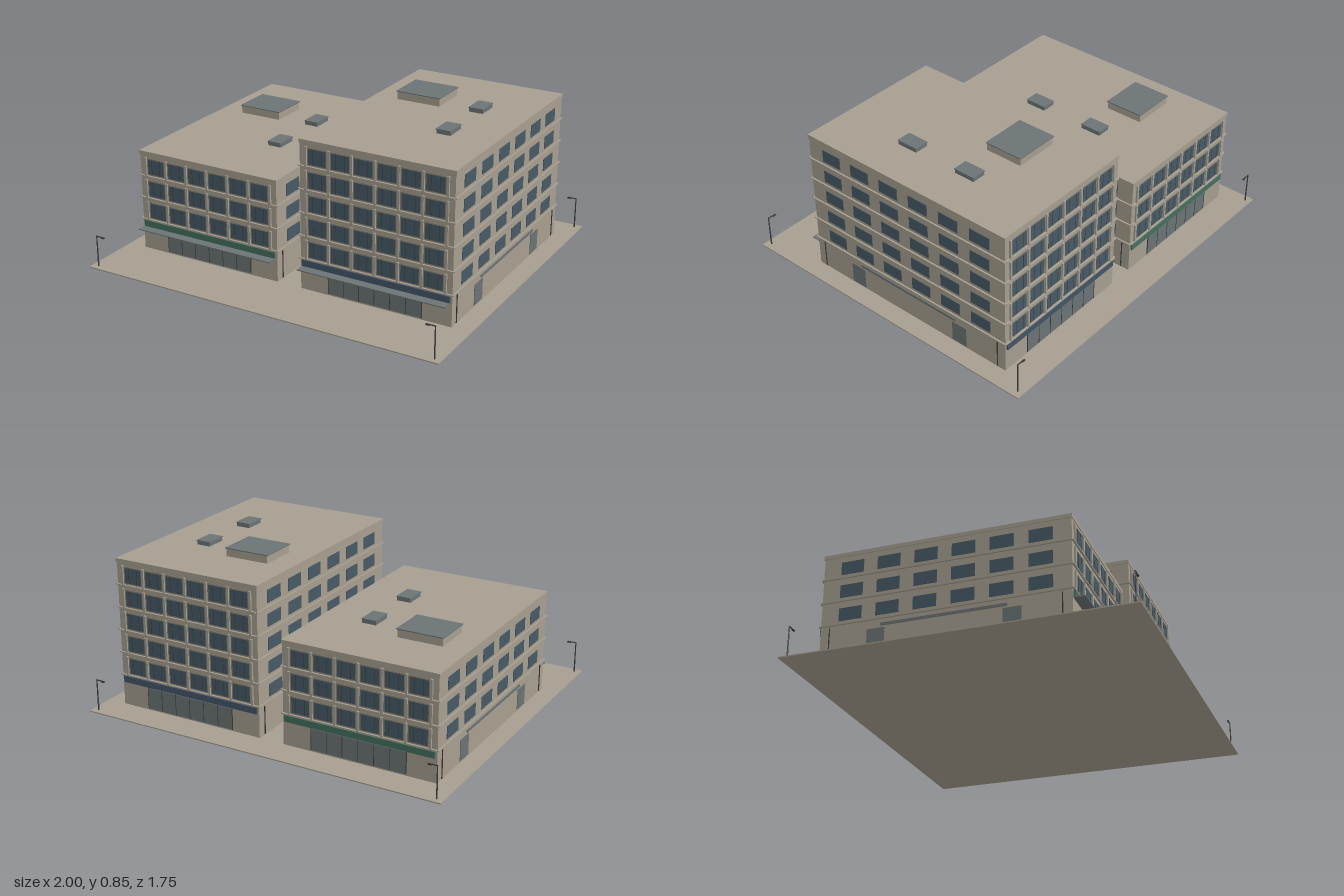
import * as THREE from 'three';

const paint = (name, color) => {
  const m = new THREE.MeshStandardMaterial({ color });
  m.name = name;
  return m;
};

export function createModel() {
  const concrete = paint('concrete', 0xa69e8f);
  const recess = paint('facadePanel', 0x8d8576);
  const glass = paint('windowGlass', 0x465a66);
  const metal = paint('greyMetal', 0x6b7374);
  const dark = paint('darkMetal', 0x3c3d3c);
  const green = paint('greenSign', 0x44705f);
  const blue = paint('blueSign', 0x425566);

  const model = new THREE.Group();
  model.name = 'cityBlock';

  // Box given by its centre and size
  const box = (parent, name, mat, x, y, z, w, h, d) => {
    const mesh = new THREE.Mesh(new THREE.BoxGeometry(w, h, d), mat);
    mesh.name = name;
    mesh.position.set(x, y, z);
    parent.add(mesh);
    return mesh;
  };

  box(model, 'pavement', concrete, 0, 0.003, 0, 2, 0.006, 1.75);

  const W = 0.83, D = 1.25, GROUND = 0.173, STOREY = 0.1225;

  // Street facade, drawn on the plane z = 0 and facing +z
  function facade(floors, sign, canopy) {
    const g = new THREE.Group();
    g.name = canopy ? 'frontFacade' : 'backFacade';
    for (let f = 0; f < floors; f++) {
      const y0 = GROUND + f * STOREY, yc = y0 + 0.054;
      box(g, 'facadePanel', recess, 0, yc, 0.0005, 0.765, 0.092, 0.003);
      box(g, 'floorLedge', concrete, 0, y0 + 0.001, 0.004, W, 0.006, 0.012);
      for (let i = 0; i < 6; i++) {
        const x = (i - 2.5) * 0.1265;
        box(g, 'window', glass, x, yc, 0.002, 0.098, 0.08, 0.005);
        for (const s of [-1, 1])
          box(g, 'mullion', dark, x + s * 0.024, yc, 0.004, 0.0025, 0.08, 0.003);
      }
      for (let i = 0; i < 7; i++)
        box(g, 'fin', concrete, (i - 3) * 0.1265, yc, 0.004, 0.012, 0.1, 0.011);
    }
    // Shop front
    box(g, 'shopGlass', metal, 0, 0.071, 0.001, 0.515, 0.114, 0.005);
    for (let i = 0; i < 7; i++)
      box(g, 'shopMullion', dark, (i - 3) * 0.0857, 0.071, 0.003, 0.003, 0.114, 0.004);
    box(g, 'signBand', sign, 0, 0.15, 0.004, 0.81, 0.034, 0.01);
    if (canopy) box(g, 'canopy', metal, 0, 0.131, 0.029, 0.81, 0.005, 0.058);
    return g;
  }

  // Side wall, drawn on the plane z = 0 and facing +z
  function sideWall(floors) {
    const g = new THREE.Group();
    g.name = 'sideWall';
    for (let f = 0; f < floors; f++) {
      const y0 = GROUND + f * STOREY;
      box(g, 'floorLedge', concrete, 0, y0 + 0.001, 0.003, D + 0.012, 0.006, 0.012);
      for (let i = 0; i < 6; i++)
        box(g, 'sideWindow', glass, (i - 2.5) * 0.19, y0 + 0.053, 0.0005, 0.118, 0.066, 0.005);
    }
    for (const s of [-1, 1]) {
      box(g, 'serviceDoor', metal, s * 0.338, 0.07, 0.0005, 0.09, 0.112, 0.005);
      box(g, 'drainPipe', dark, s * 0.578, 0.085, 0.002, 0.004, 0.15, 0.005);
    }
    box(g, 'serviceRail', metal, 0, 0.143, 0.001, 0.63, 0.014, 0.006);
    return g;
  }

  function building(name, x, floors, sign) {
    const g = new THREE.Group();
    g.name = name;
    g.position.set(x, 0, -0.0875);
    model.add(g);
    const top = GROUND + floors * STOREY + 0.012;
    box(g, 'body', concrete, 0, top / 2, 0, W, top, D);
    box(g, 'roofEdge', concrete, 0, top - 0.008, 0, W + 0.008, 0.02, D + 0.008);

    for (const s of [1, -1]) {
      const street = facade(floors, sign, s > 0);
      street.position.z = s * D / 2;
      if (s < 0) street.rotation.y = Math.PI;
      const side = sideWall(floors);
      side.position.x = s * W / 2;
      side.rotation.y = s * Math.PI / 2;
      g.add(street, side);
    }

    // Roof housing and air units
    box(g, 'roofHousing', concrete, -0.165, top + 0.021, -0.225, 0.24, 0.044, 0.207);
    box(g, 'housingCap', metal, -0.165, top + 0.045, -0.225, 0.25, 0.005, 0.215);
    for (const z of [-0.1875, 0.1775]) {
      box(g, 'airUnit', metal, 0.155, top + 0.011, z, 0.076, 0.024, 0.114);
      box(g, 'airUnitLid', metal, 0.155, top + 0.024, z, 0.08, 0.005, 0.12);
    }
  }

  building('lowBuilding', -0.485, 3, green);
  building('tallBuilding', 0.4835, 5, blue);

  // Street lamps at the four corners, arms pointing inwards
  for (const sx of [-1, 1]) for (const sz of [-1, 1]) {
    const lamp = new THREE.Group();
    lamp.name = 'streetLamp';
    lamp.position.set(sx * 0.965, 0, sz * 0.845);
    const pole = new THREE.Mesh(new THREE.CylinderGeometry(0.003, 0.004, 0.172, 8), dark);
    pole.name = 'lampPole';
    pole.position.y = 0.088;
    lamp.add(pole);
    box(lamp, 'lampArm', dark, -sx * 0.022, 0.173, 0, 0.05, 0.004, 0.005);
    box(lamp, 'lampHead', dark, -sx * 0.039, 0.17, 0, 0.02, 0.005, 0.009);
    model.add(lamp);
  }

  return model;
}
